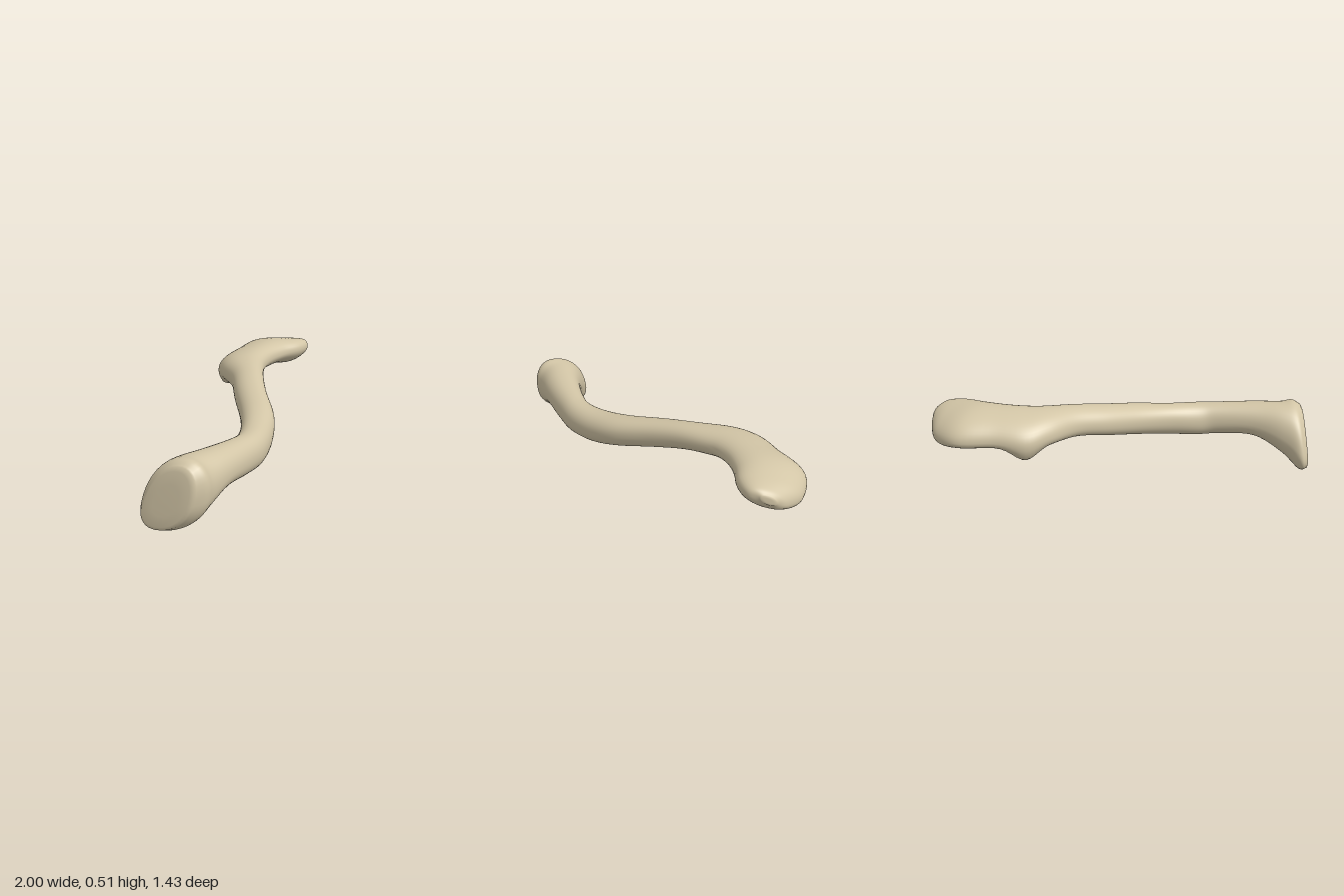
import * as THREE from 'three';

// Cross-sections along the bone:
// front edge x, z | back edge x, z | front edge y, back edge y | top y, bottom y
const SECTIONS = [
  [-0.89, 0.69, -0.99, 0.42, 0.17, 0.12, 0.355, 0.015],
  [-0.81, 0.71, -0.96, 0.39, 0.18, 0.13, 0.38, 0.005],
  [-0.74, 0.69, -0.85, 0.41, 0.20, 0.20, 0.375, 0.075],
  [-0.60, 0.65, -0.66, 0.43, 0.24, 0.25, 0.365, 0.155],
  [-0.40, 0.58, -0.44, 0.40, 0.24, 0.25, 0.35, 0.15],
  [-0.24, 0.515, -0.33, 0.355, 0.24, 0.24, 0.345, 0.145],
  [-0.08, 0.40, -0.20, 0.26, 0.26, 0.27, 0.355, 0.163],
  [0.05, 0.27, -0.07, 0.11, 0.30, 0.30, 0.385, 0.20],
  [0.18, 0.07, 0.07, -0.10, 0.35, 0.34, 0.43, 0.255],
  [0.30, -0.09, 0.19, -0.27, 0.39, 0.37, 0.465, 0.30],
  [0.42, -0.22, 0.27, -0.46, 0.41, 0.37, 0.485, 0.315],
  [0.50, -0.28, 0.36, -0.585, 0.42, 0.35, 0.49, 0.32],
  [0.60, -0.32, 0.53, -0.64, 0.43, 0.37, 0.50, 0.33],
  [0.72, -0.335, 0.72, -0.72, 0.435, 0.37, 0.505, 0.33],
  [0.85, -0.33, 0.88, -0.67, 0.44, 0.36, 0.49, 0.32],
  [0.95, -0.36, 0.965, -0.575, 0.44, 0.375, 0.475, 0.36],
  [0.99, -0.42, 0.995, -0.51, 0.445, 0.41, 0.455, 0.40],
];
const SIDES = 40;
const STEPS = 6;

const power = (v, p) => Math.sign(v) * Math.pow(Math.abs(v), p);

function boneGeometry() {
  const curve = (pick) => new THREE.CatmullRomCurve3(
    SECTIONS.map((s) => new THREE.Vector3(...pick(s))), false, 'catmullrom', 0.5);
  const front = curve((s) => [s[0], s[4], s[1]]);
  const back = curve((s) => [s[2], s[5], s[3]]);
  const heights = curve((s) => [s[6], s[7], 0]);

  const rings = [];
  const count = (SECTIONS.length - 1) * STEPS;
  for (let i = 0; i <= count; i++) {
    const t = i / count;
    const f = front.getPoint(t), b = back.getPoint(t), h = heights.getPoint(t);
    const mid = f.clone().add(b).multiplyScalar(0.5);
    const half = f.clone().sub(b).multiplyScalar(0.5);
    // The inner end leans, with its lower corner set back
    const lean = 0.2 * Math.max(0, 1 - i / (STEPS * 3));
    const ring = [];
    for (let j = 0; j < SIDES; j++) {
      const a = (j / SIDES) * Math.PI * 2;
      const c = power(Math.cos(a), 0.92), s = power(Math.sin(a), 0.92);
      const rise = s * (s > 0 ? h.x - mid.y : mid.y - h.y);
      const p = mid.clone().addScaledVector(half, c);
      p.x += lean * rise;
      p.z += lean * rise;
      p.y += rise;
      // Small knob under the back edge
      const d2 = ((p.x - 0.39) / 0.08) ** 2 + ((p.z + 0.54) / 0.09) ** 2;
      if (s < 0) p.y -= 0.055 * Math.exp(-d2) * Math.min(1, -s * 1.6);
      ring.push(p);
    }
    rings.push(ring);
  }

  // Rounded closing rings at each end
  const closeEnd = (ring, dx) => {
    const centre = ring.reduce((sum, p) => sum.add(p), new THREE.Vector3()).divideScalar(SIDES);
    return [[0.88, 0.8], [0.5, 1], [0.001, 1]].map(([k, push]) => ring.map((p) => {
      const q = centre.clone().lerp(p, k);
      q.x += dx * push;
      return q;
    }));
  };
  const startCap = closeEnd(rings[0], -0.012).reverse();
  const endCap = closeEnd(rings[count], 0.006);
  const all = [...startCap, ...rings, ...endCap];

  const index = [];
  for (let i = 0; i < all.length - 1; i++) {
    for (let j = 0; j < SIDES; j++) {
      const k = (j + 1) % SIDES;
      const a = i * SIDES + j, b = a + SIDES, c = i * SIDES + k, d = c + SIDES;
      index.push(a, b, c, b, d, c);
    }
  }
  const geometry = new THREE.BufferGeometry().setFromPoints(all.flat());
  geometry.setIndex(index);
  geometry.computeVertexNormals();
  return geometry;
}

export function createModel() {
  const group = new THREE.Group();
  group.name = 'collarbone';
  const bone = new THREE.MeshStandardMaterial({ color: 0xd2c5a6 });
  bone.name = 'bone';
  const mesh = new THREE.Mesh(boneGeometry(), bone);
  mesh.name = 'boneShaft';
  group.add(mesh);
  return group;
}
